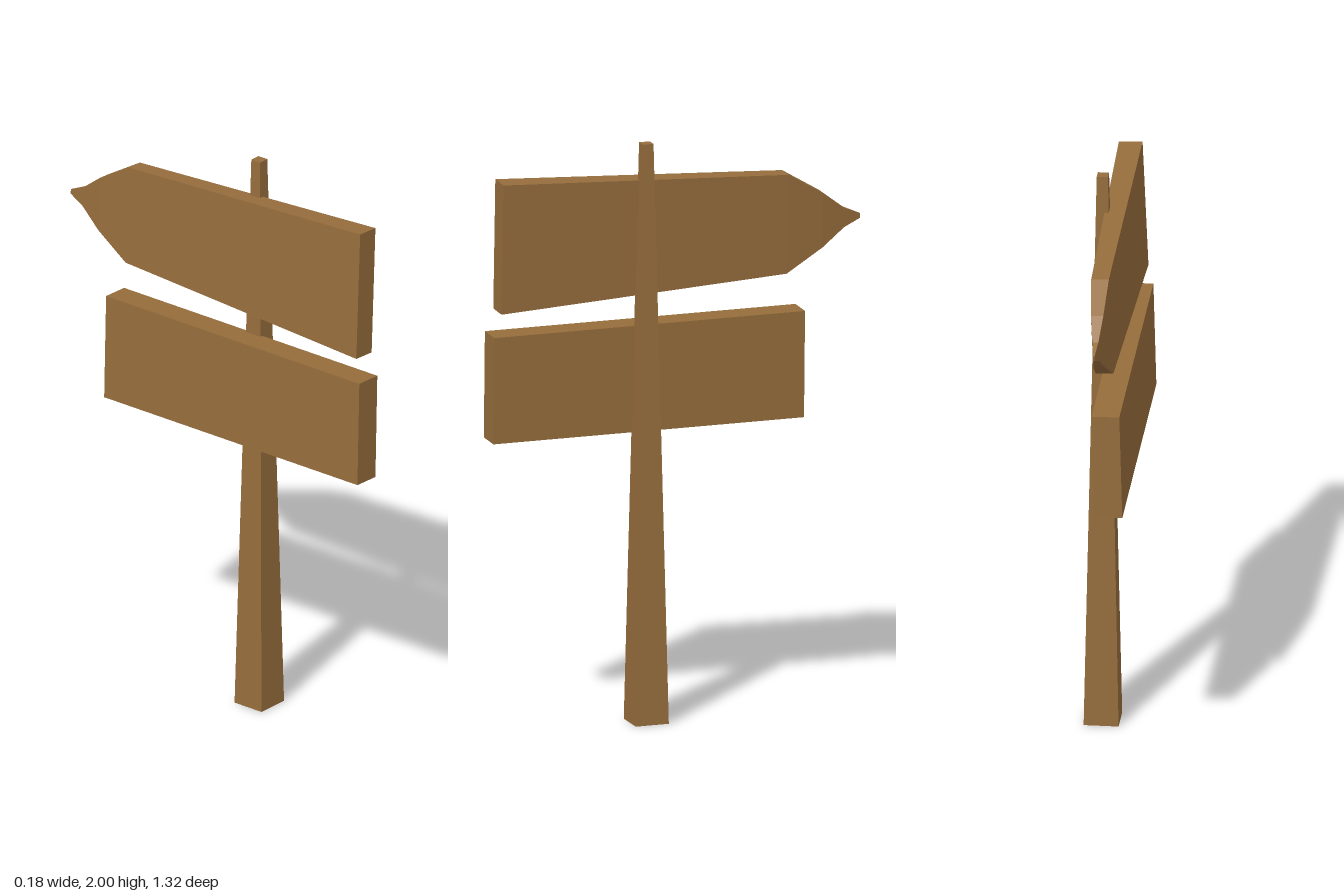
import * as THREE from 'three';

const wood = new THREE.MeshStandardMaterial({ color: 0x966d3c, flatShading: true });
wood.name = 'brown wood';

// Cross-sections of the arrow board, tail to tip: z, half width, half height
const ARROW = [
  [0.632, 0.04, 0.226],
  [-0.39, 0.03, 0.173],
  [-0.52, 0.021, 0.095],
  [-0.6, 0.01, 0.034],
  [-0.66, 0.002, 0.008],
];

// Box whose depth slices are moved onto the given cross-sections
function sectionedBoard(sections) {
  const n = sections.length - 1;
  const geometry = new THREE.BoxGeometry(2, 2, 1, 1, 1, n);
  const p = geometry.attributes.position;
  for (let i = 0; i < p.count; i++) {
    const [z, w, h] = sections[Math.round((0.5 - p.getZ(i)) * n)];
    p.setXYZ(i, p.getX(i) * w, p.getY(i) * h, z);
  }
  geometry.computeVertexNormals();
  return geometry;
}

export function createModel() {
  const model = new THREE.Group();
  model.name = 'signpost';

  const add = (name, geometry, x, y, z, tilt = 0) => {
    const mesh = new THREE.Mesh(geometry, wood);
    mesh.name = name;
    mesh.position.set(x, y, z);
    mesh.rotation.z = tilt;
    model.add(mesh);
  };

  // Square post, tapering upward
  const post = new THREE.CylinderGeometry(0.019 * Math.SQRT2, 0.059 * Math.SQRT2, 2, 4);
  post.rotateY(Math.PI / 4);
  add('post', post, 0.031, 1, 0.122);

  // Boards lean slightly, following the taper of the post
  add('arrowBoard', sectionedBoard(ARROW), -0.02, 1.672, 0, -0.044);
  add('lowerBoard', new THREE.BoxGeometry(0.094, 0.37, 1.11), -0.042, 1.182, 0.102, -0.027);

  return model;
}
